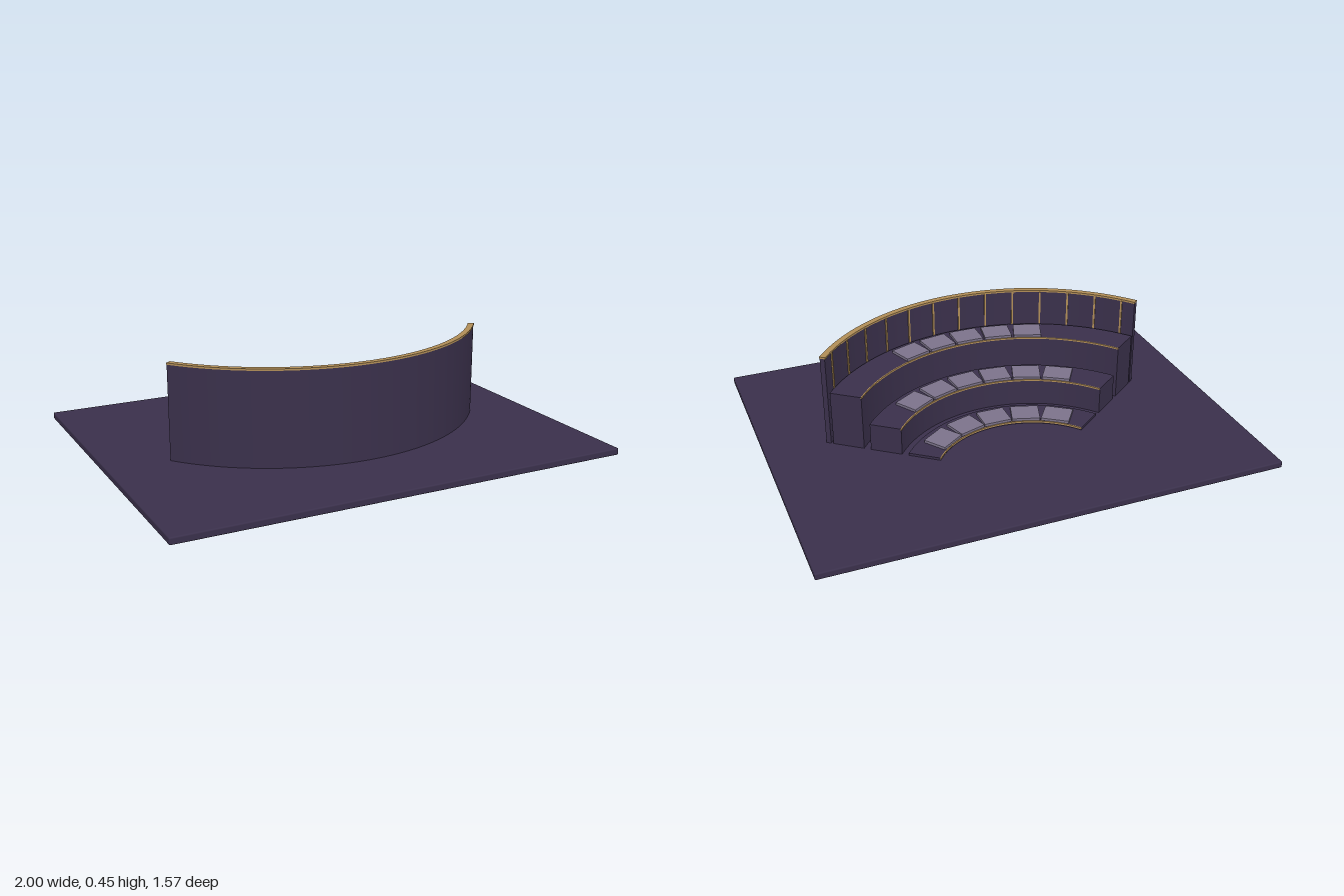
import * as THREE from 'three';
import { RoundedBoxGeometry } from 'three/addons/geometries/RoundedBoxGeometry.js';
import { toCreasedNormals } from 'three/addons/utils/BufferGeometryUtils.js';

const FLOOR = 0.03;          // top of the base slab
const CENTRE_Z = -0.497;     // common centre of every arc
const HALF = THREE.MathUtils.degToRad(52.6);

function material(name, color) {
  const m = new THREE.MeshStandardMaterial({ color });
  m.name = name;
  return m;
}

// Curved block between two radii and two heights, bulging towards +z
function arcBlock(name, inner, outer, y0, y1, mat) {
  const mid = -Math.PI / 2;
  const shape = new THREE.Shape();
  shape.absarc(0, 0, outer, mid - HALF, mid + HALF, false);
  shape.absarc(0, 0, inner, mid + HALF, mid - HALF, true);
  shape.closePath();
  let geo = new THREE.ExtrudeGeometry(shape, { depth: y1 - y0, bevelEnabled: false, curveSegments: 40 });
  geo.rotateX(-Math.PI / 2);
  geo = toCreasedNormals(geo, 0.5);
  const mesh = new THREE.Mesh(geo, mat);
  mesh.name = name;
  mesh.position.set(0, y0, CENTRE_Z);
  return mesh;
}

// Box set on an arc, turned to face its centre
function onArc(name, geo, mat, radius, angle, y) {
  const mesh = new THREE.Mesh(geo, mat);
  mesh.name = name;
  mesh.position.set(radius * Math.sin(angle), y, CENTRE_Z + radius * Math.cos(angle));
  mesh.rotation.y = angle;
  return mesh;
}

export function createModel() {
  const group = new THREE.Group();
  group.name = 'curvedSeating';
  const plum = material('dark plum', 0x3a304b);
  const gold = material('antique gold', 0xb08d57);
  const cushion = material('muted lilac', 0x7c738b);

  // Base slab
  const base = new THREE.Mesh(new RoundedBoxGeometry(2, FLOOR, 1.57, 2, 0.006), plum);
  base.name = 'base';
  base.position.y = FLOOR / 2;
  group.add(base);

  // Three rising tiers with gold nosing and a row of cushions each
  const tiers = [
    { inner: 0.41, top: 0.041, seats: 5 },
    { inner: 0.581, top: 0.154, seats: 6 },
    { inner: 0.752, top: 0.279, seats: 5 },
  ];
  const seatGeo = new THREE.BoxGeometry(0.124, 0.012, 0.108);
  tiers.forEach(({ inner, top, seats }, i) => {
    const tier = new THREE.Group();
    tier.name = `tier${i + 1}`;
    tier.add(arcBlock('step', inner, inner + 0.14, FLOOR - 0.002, top, plum));
    tier.add(arcBlock('nosing', inner - 0.003, inner + 0.002, top - 0.006, top + 0.001, gold));
    const radius = inner + 0.056;
    for (let s = 0; s < seats; s++) {
      const angle = (s - (seats - 1) / 2) * (0.143 / radius);
      tier.add(onArc('seatCushion', seatGeo, cushion, radius, angle, top + 0.006));
    }
    group.add(tier);
  });

  // Back wall with a gold cap
  group.add(arcBlock('backWall', 0.903, 0.925, FLOOR - 0.002, 0.438, plum));
  group.add(arcBlock('wallCap', 0.9, 0.927, 0.438, 0.446, gold));

  // Thin gold ribs on the inner face of the wall
  const ribs = 13;
  const ribGeo = new THREE.BoxGeometry(0.008, 0.438 - FLOOR, 0.006);
  for (let i = 0; i < ribs; i++) {
    const angle = (i - (ribs - 1) / 2) * (2 * HALF / ribs);
    group.add(onArc('wallRib', ribGeo, gold, 0.901, angle, (FLOOR + 0.438) / 2));
  }
  return group;
}
